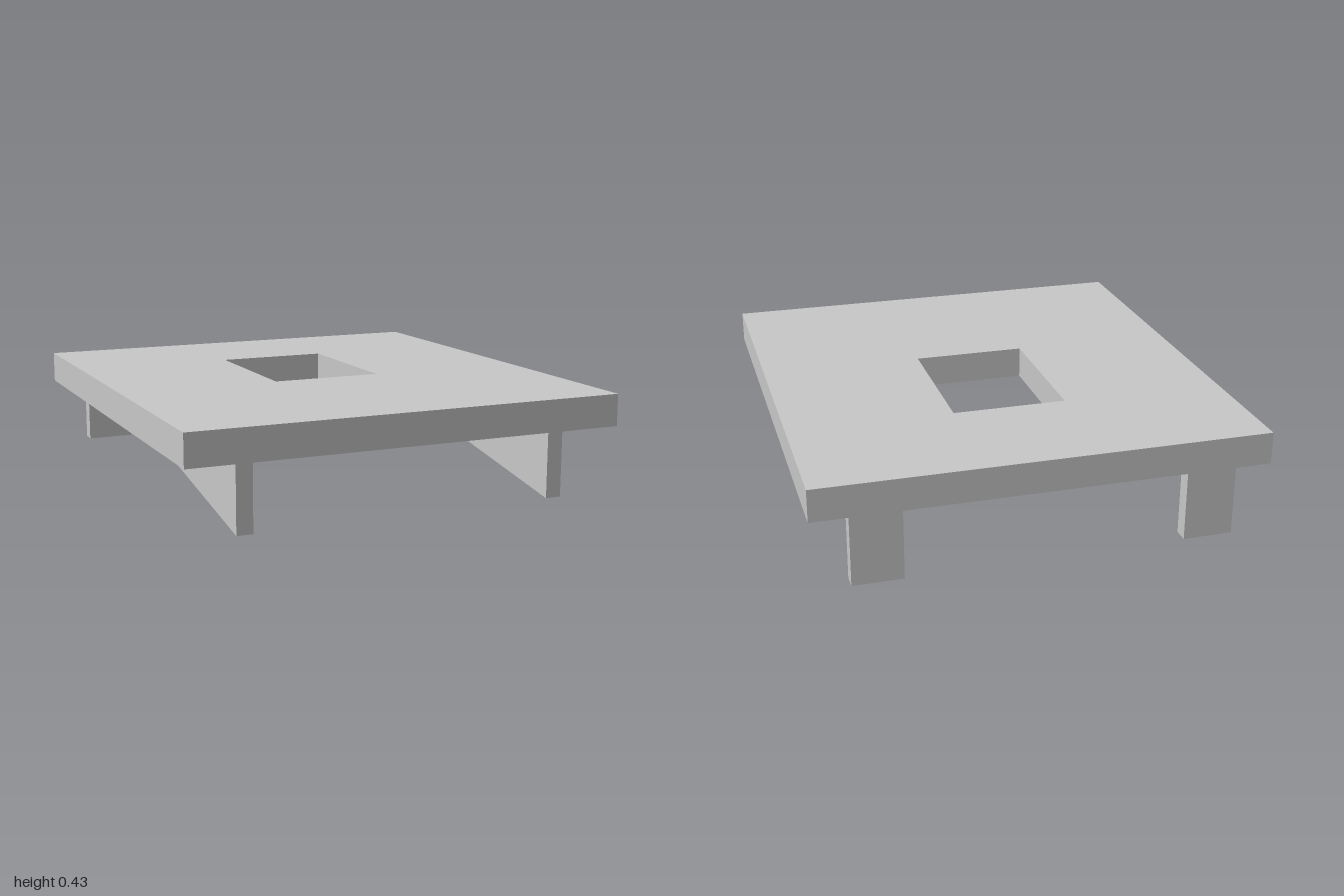
import * as THREE from 'three';

const material = new THREE.MeshStandardMaterial({ color: 0xc8c8c8 });
material.name = 'light grey';

const UNDERSIDE = 0.292;
const TOP = 0.427;

function polygon(points, Type = THREE.Shape) {
  return new Type(points.map(([x, y]) => new THREE.Vector2(x, y)));
}

function extrude(shape, depth) {
  return new THREE.ExtrudeGeometry(shape, { depth, bevelEnabled: false });
}

function part(name, geometry) {
  const mesh = new THREE.Mesh(geometry, material);
  mesh.name = name;
  return mesh;
}

export function createModel() {
  const model = new THREE.Group();
  model.name = 'slottedPlatform';

  // Flat slab with a rectangular opening set toward the back
  const outline = polygon([[-0.935, -1], [0.935, -1], [0.935, 1], [-0.935, 1]]);
  outline.holes.push(polygon([[-0.241, -0.17], [-0.241, 0.468], [0.241, 0.468], [0.241, -0.17]], THREE.Path));
  const slab = extrude(outline, TOP - UNDERSIDE);
  slab.rotateX(-Math.PI / 2).translate(0, UNDERSIDE, 0);
  model.add(part('slab', slab));

  // Tapered support: tall at the front, running out toward the back
  const ribWidth = 0.068;
  const rib = extrude(polygon([[0.935, 0], [0.935, UNDERSIDE], [-0.765, UNDERSIDE]]), ribWidth);
  rib.translate(0, 0, -ribWidth / 2).rotateY(-Math.PI / 2);

  // Thin back leg, flush with the rear edge
  const leg = new THREE.BoxGeometry(0.207, UNDERSIDE, 0.063);

  for (const [side, sign] of [['left', 1], ['right', -1]]) {
    const support = part(`${side}TaperedSupport`, rib);
    support.position.x = sign * 0.68;
    const backLeg = part(`${side}BackLeg`, leg);
    backLeg.position.set(sign * 0.68, UNDERSIDE / 2, -0.9685);
    model.add(support, backLeg);
  }

  return model;
}
